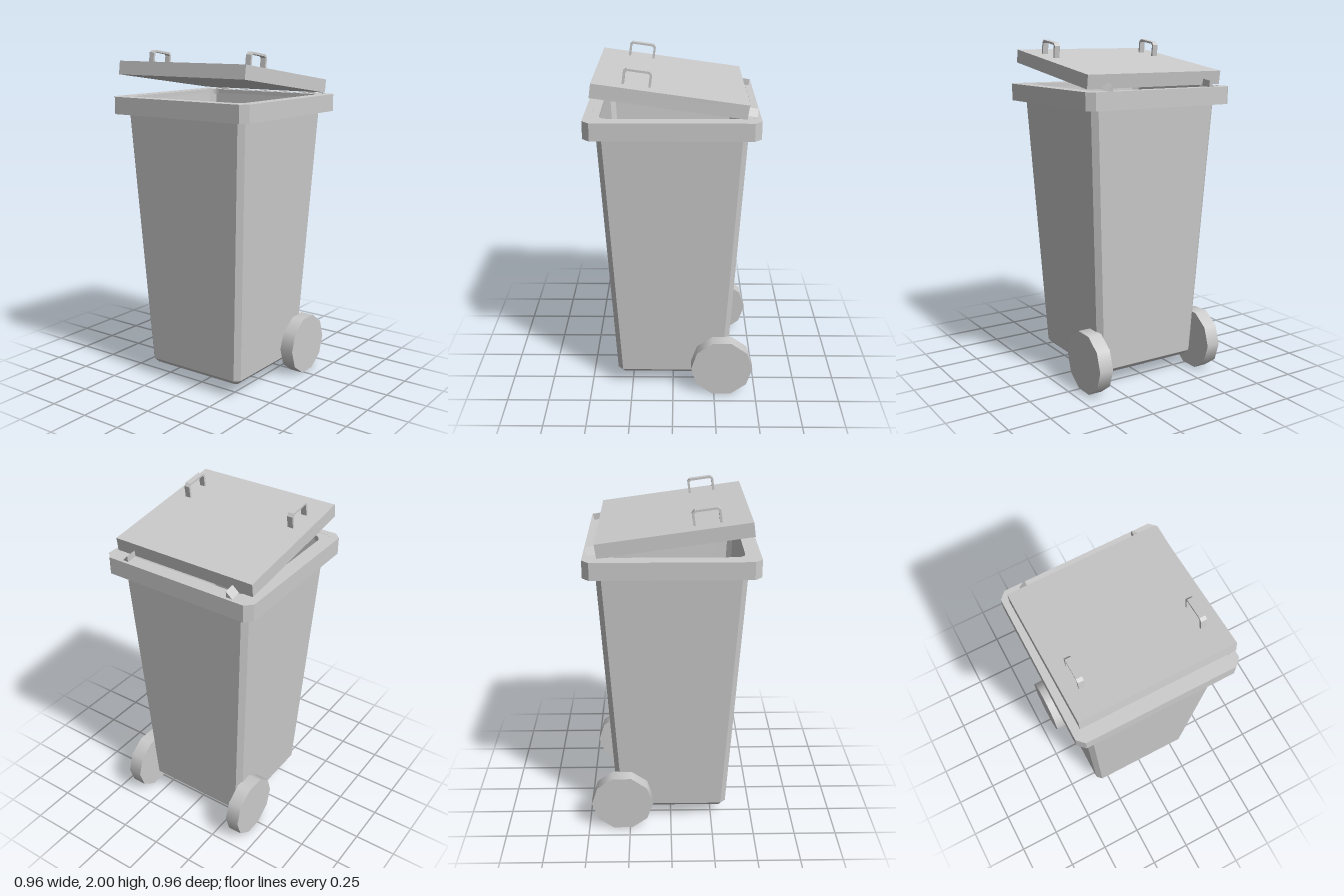
import * as THREE from 'three';

const material = new THREE.MeshStandardMaterial({ color: 0xcccccc, flatShading: true });
const smooth = new THREE.MeshStandardMaterial({ color: 0xcccccc });
const OFFSET = -0.005; // the bin sits slightly off the wheel side

function add(parent, name, geometry, mat = material) {
  const mesh = new THREE.Mesh(geometry, mat);
  mesh.name = name;
  parent.add(mesh);
  return mesh;
}

// Corners of a square of half size h with corners cut by c (counter-clockwise)
function cutSquare(h, c) {
  const k = h - c;
  return [[h, -k], [h, k], [k, h], [-k, h], [-h, k], [-h, -k], [-k, -h], [k, -h]];
}

// Closed solid through cut-square rings [half size, cut, y], capped at both ends
function loft(rings) {
  const points = rings.flatMap(([h, c, y]) => cutSquare(h, c).map(([x, z]) => [x, y, z]));
  const n = 8, index = [];
  for (let r = 0; r < rings.length - 1; r++) {
    for (let i = 0; i < n; i++) {
      const a = r * n + i, b = r * n + (i + 1) % n;
      index.push(a, a + n, b, b, a + n, b + n);
    }
  }
  const last = (rings.length - 1) * n;
  for (let i = 1; i < n - 1; i++) {
    index.push(0, i, i + 1);
    index.push(last, last + i + 1, last + i);
  }
  const g = new THREE.BufferGeometry();
  g.setAttribute('position', new THREE.Float32BufferAttribute(points.flat(), 3));
  g.setIndex(index);
  const flat = g.toNonIndexed();
  flat.computeVertexNormals();
  return flat;
}

function polygon(points) {
  return new THREE.Shape(points.map(([x, y]) => new THREE.Vector2(x, y)));
}

function roundedSquare(h, r) {
  const p = new THREE.Path(), k = h - r;
  p.absarc(k, k, r, 0, Math.PI / 2);
  p.absarc(-k, k, r, Math.PI / 2, Math.PI);
  p.absarc(-k, -k, r, Math.PI, Math.PI * 1.5);
  p.absarc(k, -k, r, Math.PI * 1.5, Math.PI * 2);
  p.closePath();
  return p;
}

// Horizontal ring between two heights
function ring(outer, hole, y0, y1) {
  outer.holes.push(hole);
  const g = new THREE.ExtrudeGeometry(outer, { depth: y1 - y0, bevelEnabled: false, curveSegments: 4 });
  return g.rotateX(-Math.PI / 2).translate(0, y0, 0);
}

export function createModel() {
  const model = new THREE.Group();
  model.name = 'wheeledBin';

  // Tapered hollow body: up the outside, over the edge and down the inside
  const bin = new THREE.Group();
  bin.name = 'bin';
  bin.position.x = OFFSET;
  model.add(bin);
  add(bin, 'body', loft([
    [0.305, 0.012, 0.083], [0.333, 0.03, 0.112], [0.417, 0.03, 1.71],
    [0.395, 0.03, 1.71], [0.313, 0.03, 0.135],
  ]));

  // Rim: overhanging skirt with a top plate around the opening
  add(bin, 'rimSkirt', ring(polygon(cutSquare(0.48, 0.04)), polygon(cutSquare(0.44, 0.03)), 1.635, 1.735));
  add(bin, 'rimTop', ring(polygon(cutSquare(0.45, 0.035)), roundedSquare(0.395, 0.05), 1.70, 1.734));

  // Tilted lid
  const lid = new THREE.Group();
  lid.name = 'lid';
  lid.position.set(-0.018, 1.842, 0);
  lid.rotation.z = -0.138;
  model.add(lid);
  add(lid, 'lidPanel', new THREE.BoxGeometry(0.843, 0.078, 0.89));

  // Lid handles: bent flat strips
  const outline = [[-0.078, 0], [-0.078, 0.07], [-0.062, 0.086], [0.062, 0.086], [0.078, 0.07], [0.078, 0],
    [0.065, 0], [0.065, 0.066], [0.056, 0.074], [-0.056, 0.074], [-0.065, 0.066], [-0.065, 0]];
  // Hinge pegs: wedges sloping outwards
  const wedge = [[-0.018, -0.02], [0.018, -0.02], [0.018, 0.018]];

  for (const side of [-1, 1]) {
    const handle = add(lid, 'lidHandle',
      new THREE.ExtrudeGeometry(polygon(outline), { depth: 0.034, bevelEnabled: false }).translate(0, 0, -0.017));
    handle.position.set(-0.185, 0.037, side * 0.345);

    const section = polygon(wedge.map(([u, v]) => [u * side, v]));
    const peg = add(lid, 'hingePeg',
      new THREE.ExtrudeGeometry(section, { depth: 0.08, bevelEnabled: false }).rotateY(Math.PI / 2));
    peg.position.set(0.405, -0.022, side * 0.342);

    // Ten-sided wheels
    const wheel = add(model, 'wheel',
      new THREE.CylinderGeometry(0.185, 0.185, 0.085, 10, 1, false, Math.PI / 2).rotateX(Math.PI / 2), smooth);
    wheel.position.set(0.295, 0.176, side * 0.381);
  }
  return model;
}
